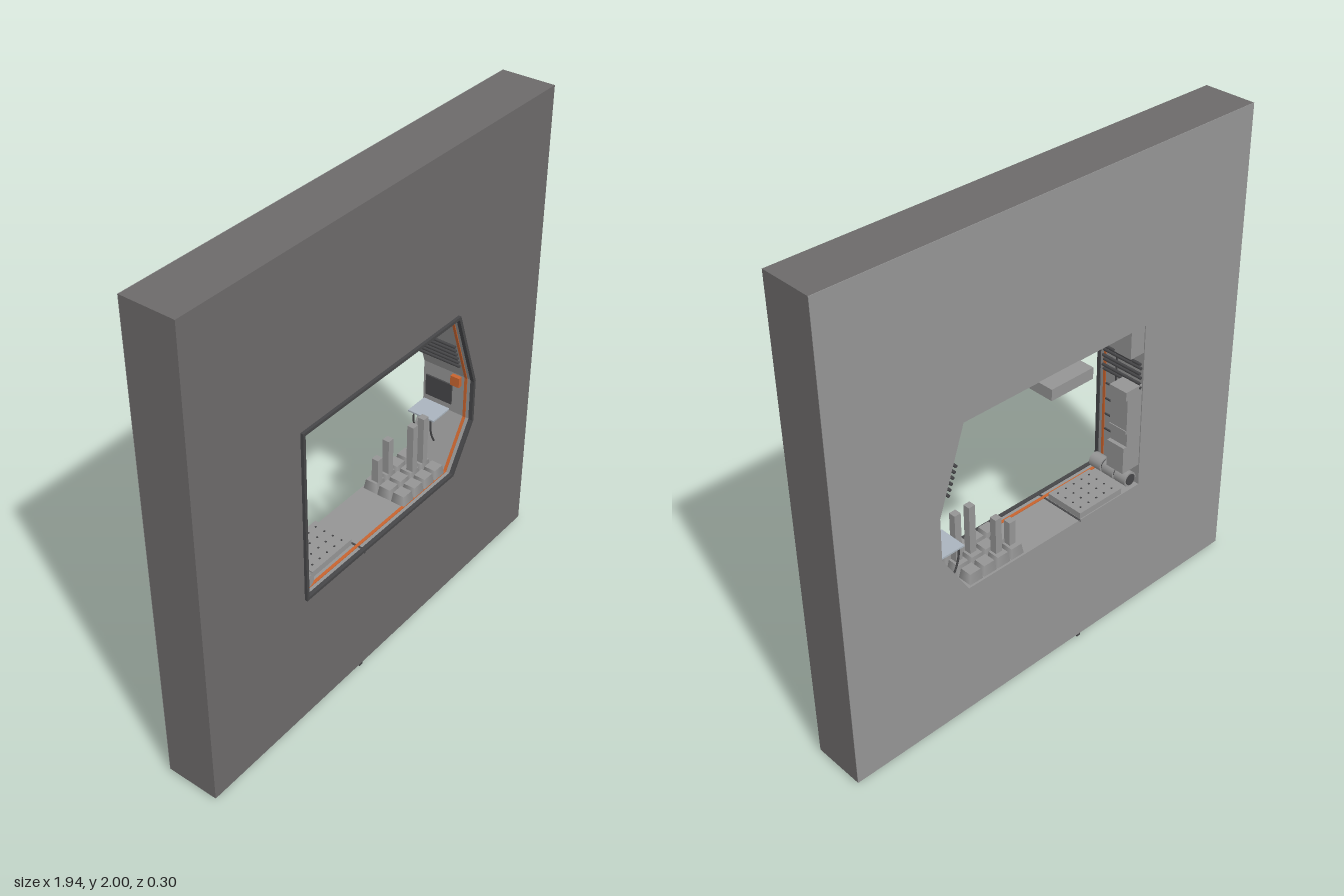
import * as THREE from 'three';

const mat = (name, color, side = THREE.FrontSide) => {
  const m = new THREE.MeshStandardMaterial({ color, side });
  m.name = name;
  return m;
};

export function createModel() {
  const model = new THREE.Group();
  const wallGrey = mat('wall grey', 0x6c6a6a);
  const panelGrey = mat('panel grey', 0x959595);
  const dark = mat('dark trim', 0x464648);
  const orange = mat('orange', 0xc8642f);
  const pale = mat('pale shelf', 0xaab4be);

  const BACK = -0.084, FRONT = 0.136;

  const add = (name, geometry, material, parent = model) => {
    const mesh = new THREE.Mesh(geometry, material);
    mesh.name = name;
    parent.add(mesh);
    return mesh;
  };
  // Box given by its minimum and maximum on each axis
  const box = (name, x0, x1, y0, y1, z0, z1, material, parent) => {
    const m = add(name, new THREE.BoxGeometry(x1 - x0, y1 - y0, z1 - z0), material, parent);
    m.position.set((x0 + x1) / 2, (y0 + y1) / 2, (z0 + z1) / 2);
    return m;
  };
  const group = (name) => {
    const g = new THREE.Group();
    g.name = name;
    model.add(g);
    return g;
  };

  // Six-sided opening outline, moved inward by d
  const outline = (d) => [
    [-0.463 + d, 0.582 + d], [0.425 - 0.56 * d, 0.582 + d], [0.545 - d, 0.783 + 0.27 * d],
    [0.545 - d, 0.968 - 0.17 * d], [0.425 - 0.71 * d, 1.312 - d], [-0.463 + d, 1.312 - d],
  ].map(([x, y]) => new THREE.Vector2(x, y));
  const slab = (name, outer, d, z0, z1, material) => {
    const shape = new THREE.Shape(outer);
    shape.holes.push(new THREE.Path(outline(d)));
    const m = add(name, new THREE.ExtrudeGeometry(shape, { depth: z1 - z0, bevelEnabled: false }), material);
    m.position.z = z0;
  };
  const rect = [[-0.973, 0.01], [0.97, 0.01], [0.97, 2], [-0.973, 2]].map(([x, y]) => new THREE.Vector2(x, y));

  // Wall, its lighter back face, opening liner and trim
  slab('wall', rect, 0.004, BACK + 0.002, FRONT, wallGrey);
  slab('backFace', rect, 0.004, BACK, BACK + 0.002, panelGrey);
  slab('openingLiner', outline(0.003), 0.008, BACK, FRONT, panelGrey);
  slab('orangeGuideStrip', outline(0.007), 0.011, 0.104, 0.116, orange);
  slab('openingFrame', outline(0), 0.012, FRONT - 0.004, 0.148, dark);

  // Drain channels under the wall and the opening
  box('wallFoot', -0.15, -0.132, 0, 0.012, BACK, FRONT, dark);
  box('floorSeam', -0.137, -0.129, 0.576, 0.592, BACK, 0.147, dark);

  // Ceiling unit and ribs
  box('ceilingUnit', -0.12, 0.08, 1.26, 1.306, -0.148, 0.08, panelGrey);
  for (let i = 0; i < 4; i++) {
    box('ceilingRib', -0.38, 0.4, 1.299, 1.305, -0.065 + i * 0.04, -0.055 + i * 0.04, dark);
  }

  // Cabinets on the left side wall
  const cabinets = group('leftCabinets');
  box('upperCabinet', -0.456, -0.386, 1.187, 1.304, -0.08, 0.0, panelGrey, cabinets);
  [
    [0.682, 0.8, -0.366], [0.8, 0.86, -0.383], [0.86, 0.874, -0.375],
    [0.874, 1.012, -0.379], [1.012, 1.05, -0.37],
  ].forEach(([y0, y1, x1]) => box('consoleSection', -0.456, x1, y0, y1, -0.08, 0.005, panelGrey, cabinets));
  for (let i = 0; i < 4; i++) {
    box('wallPanelSeam', -0.456, -0.449, 0.76 + i * 0.07, 0.766 + i * 0.07, 0.005, 0.1, dark, cabinets);
  }
  box('wallPanelEdge', -0.456, -0.449, 0.67, 1.28, 0.046, 0.051, dark, cabinets);

  // Pipes running front to back on both side walls
  const pipe = new THREE.CylinderGeometry(0.006, 0.006, 0.19, 8).rotateX(Math.PI / 2);
  const pipes = group('sidePipes');
  for (let i = 0; i < 6; i++) {
    const y = 1.04 + i * 0.021;
    add('leftPipe', pipe, dark, pipes).position.set(-0.444 + (i % 2) * 0.006, y, 0.012);
    add('rightPipe', pipe, dark, pipes).position.set(0.494 - (y - 1.04) * 0.35, y, 0.012);
  }

  // Rollers in the lower corner
  const rollers = group('cornerRollers');
  for (let i = 0; i < 3; i++) {
    const z = -0.045 + i * 0.066;
    add('roller', new THREE.CylinderGeometry(0.031, 0.031, 0.058, 16).rotateX(Math.PI / 2), panelGrey, rollers)
      .position.set(-0.417, 0.627, z);
    add('rollerCore', new THREE.CylinderGeometry(0.024, 0.024, 0.064, 16).rotateX(Math.PI / 2), dark, rollers)
      .position.set(-0.417, 0.627, z);
  }
  add('rollerCap', new THREE.CylinderGeometry(0.025, 0.025, 0.006, 16).rotateX(Math.PI / 2), panelGrey, rollers)
    .position.set(-0.417, 0.627, 0.118);

  // Studded floor platform
  const platform = group('floorPlatform');
  box('platformSlab', -0.363, -0.14, 0.589, 0.616, -0.08, 0.09, panelGrey, platform);
  for (let i = 0; i < 5; i++) for (let j = 0; j < 4; j++) {
    const x = -0.335 + i * 0.042, z = -0.055 + j * 0.04;
    box('stud', x - 0.003, x + 0.003, 0.615, 0.619, z - 0.003, z + 0.003, dark, platform);
  }

  // Grid of tapered bases with square posts
  const posts = group('posts');
  const base = new THREE.CylinderGeometry(0.0345, 0.043, 0.042, 4).rotateY(Math.PI / 4);
  [[0.177, 0.735, -0.035], [0.244, 0.785, -0.035], [0.31, 0.84, 0.03], [0.377, 0.84, 0.03]]
    .forEach(([x, top, z]) => {
      for (let j = 0; j < 3; j++) {
        add('postBase', base, panelGrey, posts).position.set(x, 0.611, -0.045 + j * 0.065);
      }
      box('post', x - 0.0145, x + 0.0145, 0.62, top, z - 0.0145, z + 0.0145, panelGrey, posts);
    });

  // Shelf with curved brackets on the right side wall
  const shelf = group('shelf');
  box('shelfTop', 0.432, 0.537, 0.786, 0.793, -0.08, 0.04, pale, shelf);
  const curve = new THREE.QuadraticBezierCurve3(
    new THREE.Vector3(0.443, 0.787, 0), new THREE.Vector3(0.435, 0.72, 0), new THREE.Vector3(0.472, 0.665, 0));
  for (const z of [-0.06, 0.02]) {
    add('shelfBracket', new THREE.TubeGeometry(curve, 10, 0.004, 6), dark, shelf).position.z = z;
  }
  box('sidePanel', 0.53, 0.538, 0.82, 0.91, -0.07, 0.05, dark);
  box('orangeBox', 0.519, 0.538, 0.92, 0.962, 0.05, 0.09, orange);

  return model;
}
